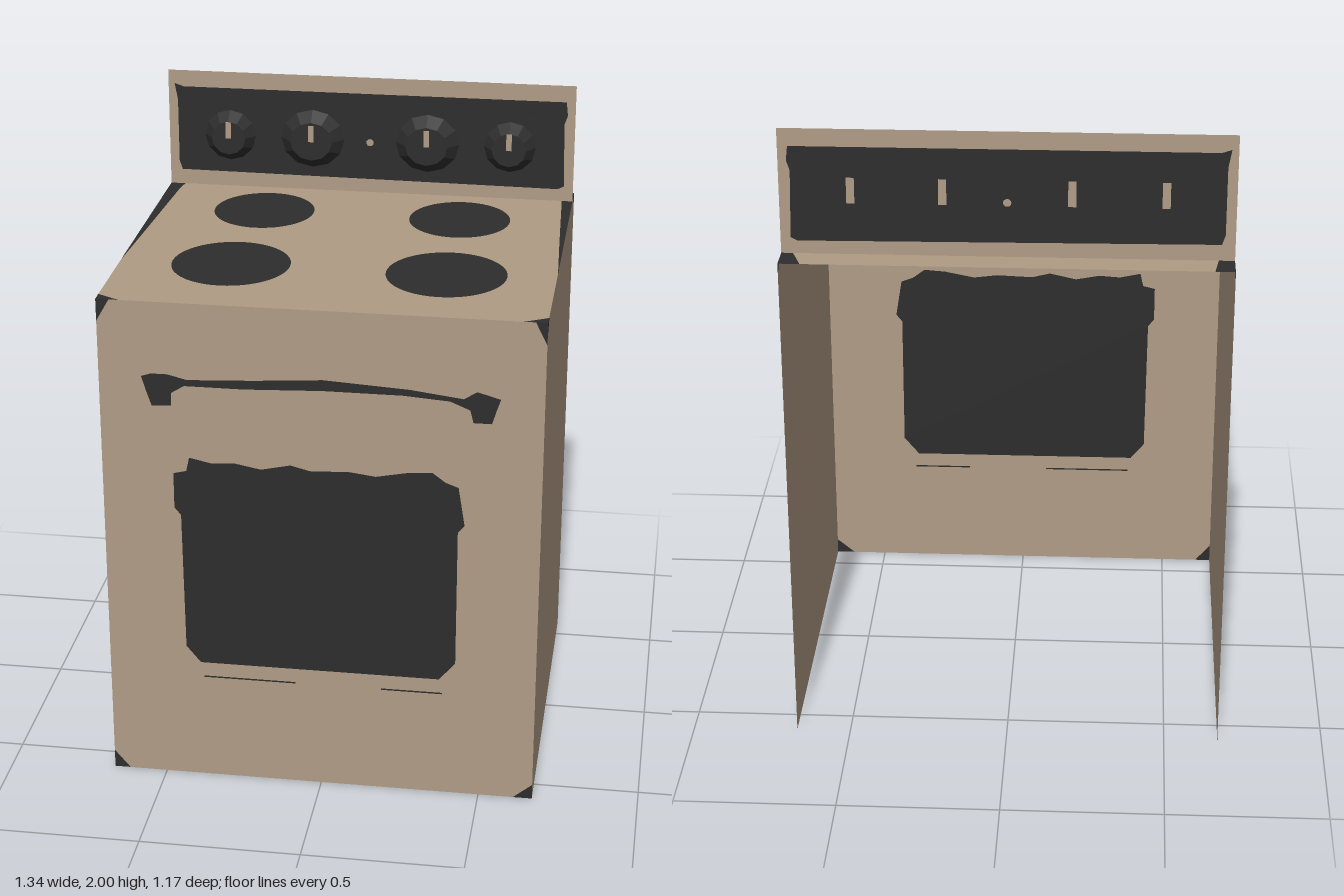
import * as THREE from 'three';

const beige = new THREE.MeshStandardMaterial({ color: 0xb09c85, side: THREE.DoubleSide });
beige.name = 'beige enamel';
const black = new THREE.MeshStandardMaterial({ color: 0x2d2d2d, side: THREE.DoubleSide });
black.name = 'black';

const W = 0.67, D = 0.585, H = 1.61, PANEL_Z = -0.5;

// Closed outline from [x, y] pairs
const poly = (pts) => new THREE.Shape(pts.map(([x, y]) => new THREE.Vector2(x, y)));
const rect = (x0, y0, x1, y1) => poly([[x0, y0], [x1, y0], [x1, y1], [x0, y1]]);
const oval = (x, y, rx, ry) => new THREE.Shape().absellipse(x, y, rx, ry, 0, Math.PI * 2, false, 0);

function mesh(name, geometry, material) {
  const m = new THREE.Mesh(geometry, material);
  m.name = name;
  return m;
}

// Flat sheet: the beige outline is cut around each inlay so nothing overlaps
function sheet(name, outline, inlays, edges = []) {
  const g = new THREE.Group();
  g.name = name;
  const base = poly(outline);
  for (const [, shape] of inlays) base.holes.push(shape);
  g.add(mesh(name + 'Sheet', new THREE.ShapeGeometry(base, 24), beige));
  for (const [part, shape] of inlays) g.add(mesh(part, new THREE.ShapeGeometry(shape, 24), black));
  if (edges.length) g.add(mesh(name + 'CornerMarks', new THREE.ShapeGeometry(edges.map(poly)), black));
  return g;
}

// Rectangle with four clipped corners; returns the outline and the corner triangles.
// Clips are [width, height], in the order bottom left, bottom right, top right, top left
function clipped(x0, y0, x1, y1, [a, b, c, d]) {
  return {
    outline: [[x0 + a[0], y0], [x1 - b[0], y0], [x1, y0 + b[1]], [x1, y1 - c[1]],
      [x1 - c[0], y1], [x0 + d[0], y1], [x0, y1 - d[1]], [x0, y0 + a[1]]],
    corners: [
      [[x0, y0], [x0 + a[0], y0], [x0, y0 + a[1]]],
      [[x1, y0], [x1, y0 + b[1]], [x1 - b[0], y0]],
      [[x1, y1], [x1 - c[0], y1], [x1, y1 - c[1]]],
      [[x0, y1], [x0, y1 - d[1]], [x0 + d[0], y1]],
    ],
  };
}

export function createModel() {
  const stove = new THREE.Group();
  stove.name = 'stove';

  // Front with oven window, handle and drawer seam
  const handle = poly([[-0.54, 1.37], [-0.51, 1.38], [-0.46, 1.38], [-0.4, 1.365], [-0.2, 1.375],
    [0.01, 1.39], [0.27, 1.375], [0.43, 1.355], [0.47, 1.38], [0.54, 1.36], [0.53, 1.33],
    [0.515, 1.28], [0.46, 1.28], [0.45, 1.32], [0.39, 1.345], [0.25, 1.355], [0.01, 1.355],
    [-0.23, 1.345], [-0.41, 1.345], [-0.45, 1.32], [-0.45, 1.28], [-0.51, 1.275], [-0.525, 1.32]]);
  const ovenWindow = poly([[-0.4, 1.11], [-0.33, 1.095], [-0.26, 1.1], [-0.18, 1.085], [-0.09, 1.105],
    [-0.03, 1.09], [0.09, 1.095], [0.17, 1.085], [0.27, 1.105], [0.34, 1.11], [0.38, 1.08],
    [0.42, 1.065], [0.44, 0.94], [0.42, 0.915], [0.42, 0.465], [0.37, 0.405], [-0.38, 0.405],
    [-0.425, 0.46], [-0.43, 0.915], [-0.45, 0.94], [-0.45, 1.055], [-0.41, 1.065]]);
  const f = clipped(-W, 0, W, H, [[0.05, 0.06], [0.06, 0.05], [0.035, 0.07], [0.04, 0.07]]);
  const front = sheet('front', f.outline, [
    ['ovenHandle', handle],
    ['ovenWindow', ovenWindow],
    ['drawerSeamRight', rect(-0.37, 0.353, -0.08, 0.358)],
    ['drawerSeamLeft', rect(0.19, 0.353, 0.38, 0.358)],
  ], f.corners);
  front.position.z = D;
  stove.add(front);

  // Plain sides
  for (const [name, s] of [['leftSide', 1], ['rightSide', -1]]) {
    const c = clipped(-D, 0, D, H, [[0.01, 0.01], [0.01, 0.01], [0.035, 0.04], [0.055, 0.05]]);
    const side = sheet(name, c.outline, [], c.corners);
    side.rotation.y = Math.PI / 2;
    side.position.x = s * W;
    stove.add(side);
  }

  // Cooktop with four burners and dark tapering edges (drawn with y pointing to the back)
  const cooktop = sheet('cooktop',
    [[-0.6, -D], [0.6, -D], [W, -0.545], [W, -0.18], [0.655, 0.1], [0.635, 0.5], [0.605, D],
      [-0.61, D], [-0.63, 0.45], [-0.655, 0], [-W, -0.25], [-W, -0.545]],
    [
      ['burnerBackRight', oval(-0.313, 0.27, 0.162, 0.172)],
      ['burnerBackLeft', oval(0.323, 0.27, 0.162, 0.172)],
      ['burnerFrontRight', oval(-0.328, -0.232, 0.183, 0.193)],
      ['burnerFrontLeft', oval(0.336, -0.232, 0.185, 0.193)],
    ],
    [
      [[-W, -D], [-0.6, -D], [-W, -0.545]],
      [[W, -D], [W, -0.545], [0.6, -D]],
      [[W, -0.18], [W, D], [0.605, D], [0.635, 0.5], [0.655, 0.1]],
      [[-W, -0.25], [-0.655, 0], [-0.63, 0.45], [-0.61, D], [-W, D]],
    ]);
  cooktop.rotation.x = -Math.PI / 2;
  cooktop.position.y = H;
  stove.add(cooktop);

  // Control panel: black field with a small beige dot and marks behind the knobs
  const knobs = [[-0.465, 0.085], [-0.19, 0.105], [0.19, 0.105], [0.46, 0.085]];
  const field = poly([[-0.65, 1.955], [-0.62, 1.945], [0.64, 1.945], [0.645, 1.9], [0.635, 1.87],
    [0.64, 1.66], [0.62, 1.65], [-0.63, 1.66], [-0.64, 1.69], [-0.64, 1.9]]);
  const marks = [oval(0, 1.78, 0.012, 0.012)];
  for (const [x] of knobs) marks.push(rect(x - 0.012, 1.77, x + 0.012, 1.85));
  field.holes.push(...marks);
  const panel = sheet('controlPanel', [[-W, H], [W, H], [W, 2], [-W, 2]], [['controlField', field]]);
  panel.add(mesh('controlMarks', new THREE.ShapeGeometry(marks), beige));
  panel.position.z = PANEL_Z;
  stove.add(panel);

  // Tapered knobs with a pointer plate
  for (const [x, r] of knobs) {
    const knob = new THREE.Group();
    knob.name = 'knob';
    const body = mesh('knobBody', new THREE.CylinderGeometry(r * 0.66, r, 0.038, 12).toNonIndexed(), black);
    body.geometry.computeVertexNormals();
    body.rotation.x = Math.PI / 2;
    body.scale.z = r > 0.1 ? 0.93 : 1;
    const pointer = mesh('knobPointer', new THREE.BoxGeometry(0.018, 0.055, 0.004), beige);
    pointer.position.set(0, 0.027, 0.02);
    knob.add(body, pointer);
    knob.position.set(x, 1.787, PANEL_Z + 0.022);
    stove.add(knob);
  }

  return stove;
}
